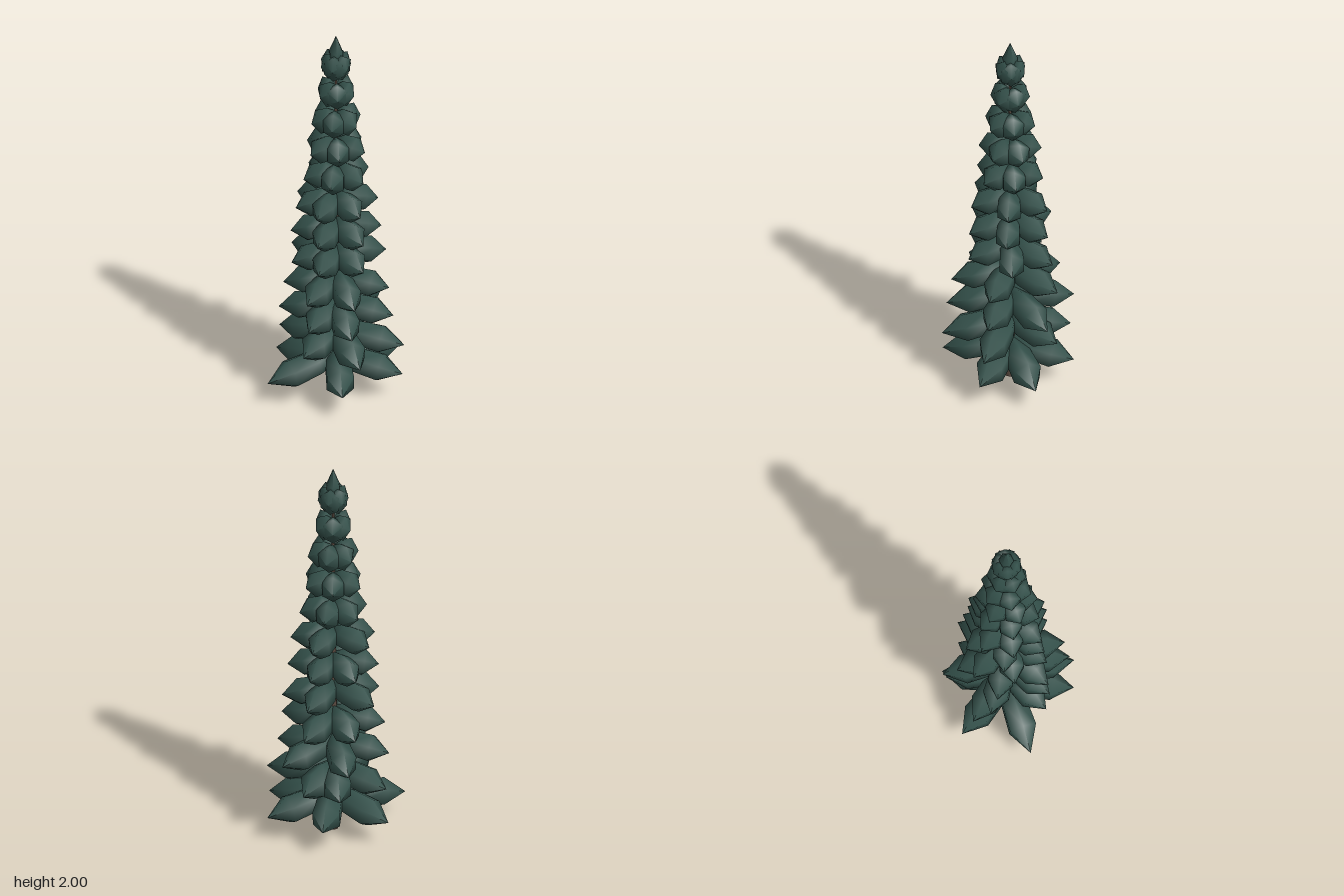
import * as THREE from 'three';

const TAU = Math.PI * 2;

// Hexagonal spindle along +y, given as [height, radius] pairs
function spindle(profile) {
  const points = profile.map(([y, r]) => new THREE.Vector2(r, y));
  return new THREE.LatheGeometry(points, 6, TAU / 12);
}

// One bough: full near the trunk, widest two thirds out, pointed at the end
function boughGeometry(length, radius) {
  return spindle([
    [0, 0], [0.03 * length, 0.55 * radius], [0.3 * length, 0.9 * radius],
    [0.67 * length, radius], [length, 0],
  ]);
}

// Six evenly spaced [angle in degrees, length] pairs
function ring(start, length) {
  return Array.from({ length: 6 }, (_, i) => [start + i * 60, length]);
}

export function createModel() {
  const needles = new THREE.MeshStandardMaterial({ color: 0x34514b });
  needles.name = 'needleGreen';
  const bark = new THREE.MeshStandardMaterial({ color: 0x5a4a40 });
  bark.name = 'barkBrown';

  const tree = new THREE.Group();
  tree.name = 'coniferTree';

  const trunk = new THREE.Mesh(new THREE.CylinderGeometry(0.004, 0.027, 1.9, 8), bark);
  trunk.name = 'trunk';
  trunk.position.y = 0.95;
  tree.add(trunk);

  // Tiers from the ground up; angles run from +x towards +z
  const tiers = [
    [[187, 0.346], [129, 0.385], [61, 0.338], [-8, 0.345], [-55, 0.362], [-111, 0.327]],
    [[-12, 0.348], [46, 0.345], [102, 0.28], [180, 0.308], [233, 0.302], [-89, 0.288]],
    [[-12, 0.292], [52, 0.318], [96, 0.277], [163, 0.287], [226, 0.323], [291, 0.326]],
    [[-12, 0.27], [48, 0.296], [98, 0.277], [157, 0.262], [215, 0.266], [270, 0.286]],
    [[-37, 0.256], [30, 0.23], [88, 0.235], [137, 0.235], [187, 0.256], [270, 0.256]],
    ring(30, 0.227),
    [[-32, 0.212], [32, 0.212], [92, 0.218], [137, 0.212], [183, 0.214], [268, 0.218]],
    ring(15, 0.173),
    ring(0, 0.156),
    ring(15, 0.13),
    ring(0, 0.098),
    ring(20, 0.077),
  ];

  tiers.forEach((boughs, i) => {
    const tier = new THREE.Group();
    tier.name = `branchTier${i + 1}`;
    tier.position.y = 0.2 + 0.149 * i;
    const droop = 0.19 - 0.008 * i;
    for (const [angle, length] of boughs) {
      const geometry = boughGeometry(length, 0.077 - 0.0007 * i);
      geometry.rotateZ(-Math.PI / 2 - droop);
      geometry.scale(1, 1, 1 - 0.018 * i); // slimmer towards the top
      geometry.rotateY((-angle / 360) * TAU);
      const bough = new THREE.Mesh(geometry, needles);
      bough.name = 'bough';
      tier.add(bough);
    }
    tree.add(tier);
  });

  // Pointed top shoot
  const shoot = new THREE.Mesh(
    spindle([[1.82, 0], [1.85, 0.034], [1.91, 0.037], [2, 0]]), needles);
  shoot.name = 'topShoot';
  tree.add(shoot);

  return tree;
}
